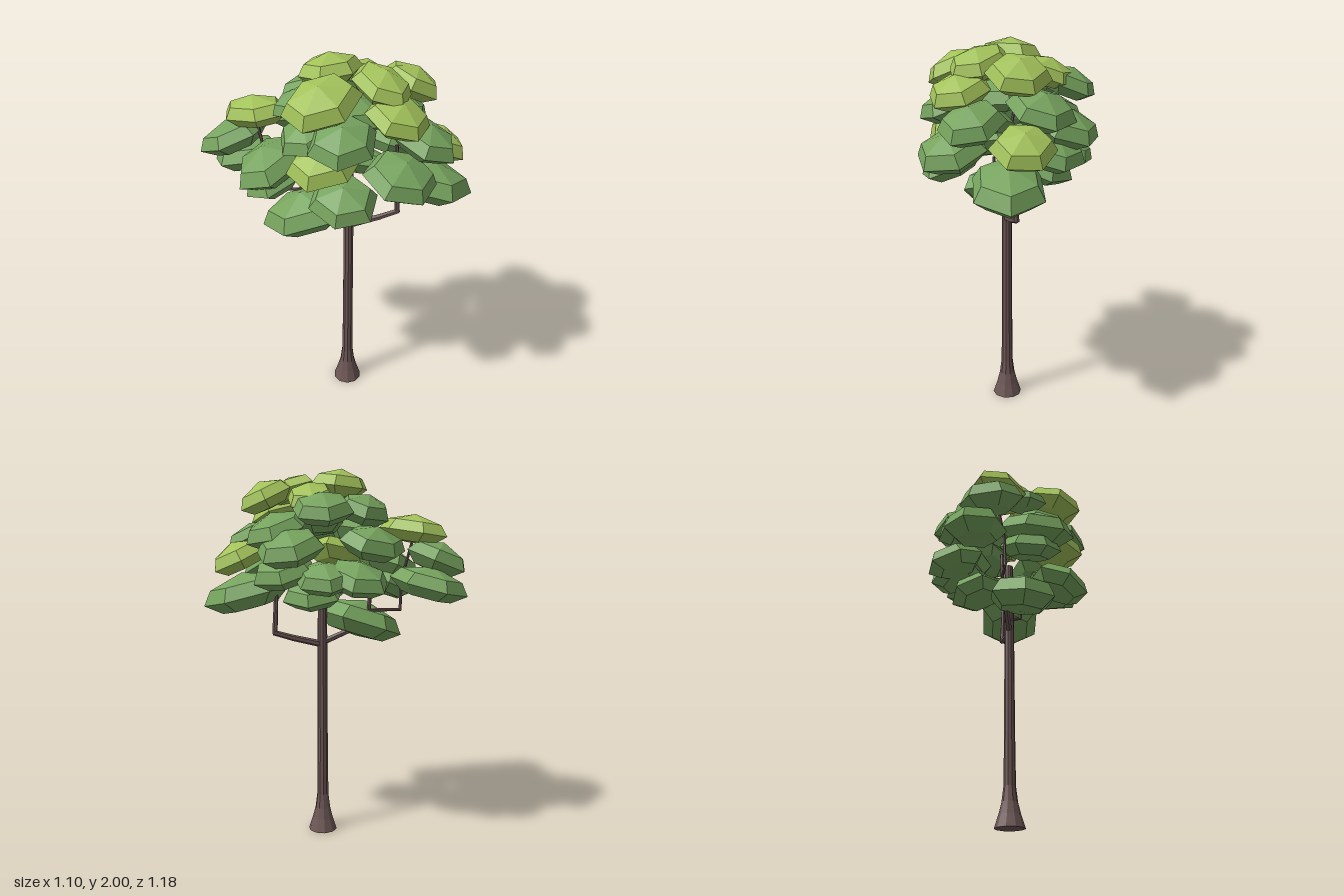
import * as THREE from 'three';

const bark = new THREE.MeshStandardMaterial({ color: 0x6b5654, flatShading: true });
const green = new THREE.MeshStandardMaterial({ color: 0x76a35e, flatShading: true });
const lime = new THREE.MeshStandardMaterial({ color: 0xa2c25a, flatShading: true });

const TRUNK = [0.03, 0.055]; // trunk axis in x, z
const UP = new THREE.Vector3(0, 1, 0);

// Six-sided lens shared by all leaf clumps
const clumpShape = new THREE.LatheGeometry(
  [[0, -0.9], [0.64, -0.8], [1, -0.18], [0.78, 0.5], [0, 1]].map(([r, y]) => new THREE.Vector2(r, y)), 6);

// Each clump: x, y, z, half width, half depth, yaw, and a lean where it differs from the rule
const limeClumps = [
  [-0.03, 1.925, -0.02, 0.16, 0.15, 0.15],
  [0.06, 1.9, 0.26, 0.13, 0.17, 0],
  [0.06, 1.78, 0.38, 0.15, 0.16, 0],
  [0.21, 1.85, -0.05, 0.12, 0.16, -0.65],
  [0.29, 1.86, 0.21, 0.15, 0.16, 0.3, 0.45],
  [-0.22, 1.85, 0.17, 0.19, 0.17, 0],
  [0.41, 1.55, 0.29, 0.15, 0.17, 0.4, 0.45],
  [-0.3, 1.69, -0.3, 0.13, 0.19, 0.38, 0.15],
  [-0.21, 1.56, 0.18, 0.19, 0.17, 0],
];
const greenClumps = [
  // upper tier
  [0.24, 1.79, -0.17, 0.15, 0.16, 0.5],
  [-0.03, 1.79, -0.2, 0.17, 0.14, 0.4],
  [-0.21, 1.79, -0.04, 0.13, 0.13, 0.1],
  [0.02, 1.73, 0.12, 0.17, 0.16, 0.2],
  [0.32, 1.69, 0.09, 0.17, 0.17, 0.2],
  [0.2, 1.65, 0.42, 0.15, 0.18, 0.3],
  [-0.17, 1.68, 0.26, 0.17, 0.17, 0.3],
  [-0.24, 1.67, 0.08, 0.15, 0.15, 0.5],
  // middle tier
  [0.35, 1.6, -0.05, 0.17, 0.18, 0.5],
  [0, 1.62, -0.29, 0.18, 0.16, 0],
  [0.05, 1.5, 0.43, 0.18, 0.18, 0],
  [-0.36, 1.5, -0.08, 0.2, 0.18, 0.52],
  [-0.375, 1.54, -0.41, 0.155, 0.19, 1.17],
  [0.34, 1.48, 0.02, 0.15, 0.18, 0.2],
  [0.24, 1.45, -0.18, 0.14, 0.16, 0.5],
  // lower tier
  [-0.28, 1.41, -0.43, 0.15, 0.21, 0.61, 0.25],
  [0.11, 1.45, -0.28, 0.15, 0.18, 0.1],
  [0.34, 1.36, 0.32, 0.18, 0.24, 0.9, 0.25],
  [-0.17, 1.38, 0.27, 0.16, 0.18, 0.15],
  [-0.33, 1.4, -0.1, 0.16, 0.15, 0.3],
  [0.2, 1.37, -0.05, 0.15, 0.17, 0.1],
  [-0.18, 1.2, -0.03, 0.18, 0.25, 0.93],
];

// Clumps lean outward more the further they sit from the crown axis
function addClump(group, [x, y, z, w, d, yaw, setLean], material) {
  const clump = new THREE.Mesh(clumpShape, material);
  const out = new THREE.Vector3(x, 0, z - 0.05);
  const lean = setLean ?? Math.min(0.38, out.length() * 1.6);
  const axis = new THREE.Vector3().crossVectors(UP, out).normalize();
  clump.quaternion.setFromAxisAngle(axis, lean)
    .multiply(new THREE.Quaternion().setFromAxisAngle(UP, yaw));
  clump.scale.set(w * 1.06, (w + d) * 0.25, d);
  clump.position.set(x, y, z);
  clump.name = 'leafClump';
  group.add(clump);
}

// Straight tapered pieces joined along a list of points
function addBranch(group, points, r0, r1) {
  const pts = points.map((p) => new THREE.Vector3(...p));
  const n = pts.length - 1;
  for (let i = 0; i < n; i++) {
    const dir = pts[i + 1].clone().sub(pts[i]);
    const ra = r0 + (r1 - r0) * i / n, rb = r0 + (r1 - r0) * (i + 1) / n;
    const part = new THREE.Mesh(new THREE.CylinderGeometry(rb, ra, dir.length() + rb, 6), bark);
    part.position.copy(pts[i]).addScaledVector(dir, 0.5);
    part.quaternion.setFromUnitVectors(UP, dir.normalize());
    part.name = 'branch';
    group.add(part);
  }
}

export function createModel() {
  const tree = new THREE.Group();
  tree.name = 'tree';

  // Trunk with a flared foot
  const profile = [[0, 0], [0.08, 0], [0.057, 0.07], [0.042, 0.13], [0.032, 0.21], [0.029, 0.5],
    [0.027, 1.1], [0.023, 1.5], [0, 1.5]];
  const trunk = new THREE.Mesh(
    new THREE.LatheGeometry(profile.map(([r, y]) => new THREE.Vector2(r, y)), 10), bark);
  trunk.position.set(TRUNK[0], 0, TRUNK[1]);
  trunk.name = 'trunk';
  tree.add(trunk);

  // Branches
  const branches = new THREE.Group();
  branches.name = 'branches';
  const [tx, tz] = TRUNK;
  addBranch(branches, [[tx, 1.07, tz], [0.17, 1.11, 0.14], [0.255, 1.14, 0.19], [0.245, 1.3, 0.19], [0.24, 1.52, 0.18]], 0.019, 0.01);
  addBranch(branches, [[tx, 1.08, tz], [-0.06, 1.14, -0.04], [-0.14, 1.18, -0.13], [-0.14, 1.42, -0.14]], 0.018, 0.01);
  addBranch(branches, [[-0.14, 1.26, -0.14], [-0.28, 1.26, -0.235], [-0.28, 1.42, -0.24], [-0.29, 1.62, -0.3]], 0.009, 0.008);
  addBranch(branches, [[0.245, 1.27, 0.19], [0.18, 1.29, 0.27], [0.18, 1.46, 0.27]], 0.009, 0.007);
  tree.add(branches);

  // Crown
  const crown = new THREE.Group();
  crown.name = 'crown';
  limeClumps.forEach((c) => addClump(crown, c, lime));
  greenClumps.forEach((c) => addClump(crown, c, green));
  tree.add(crown);
  return tree;
}
